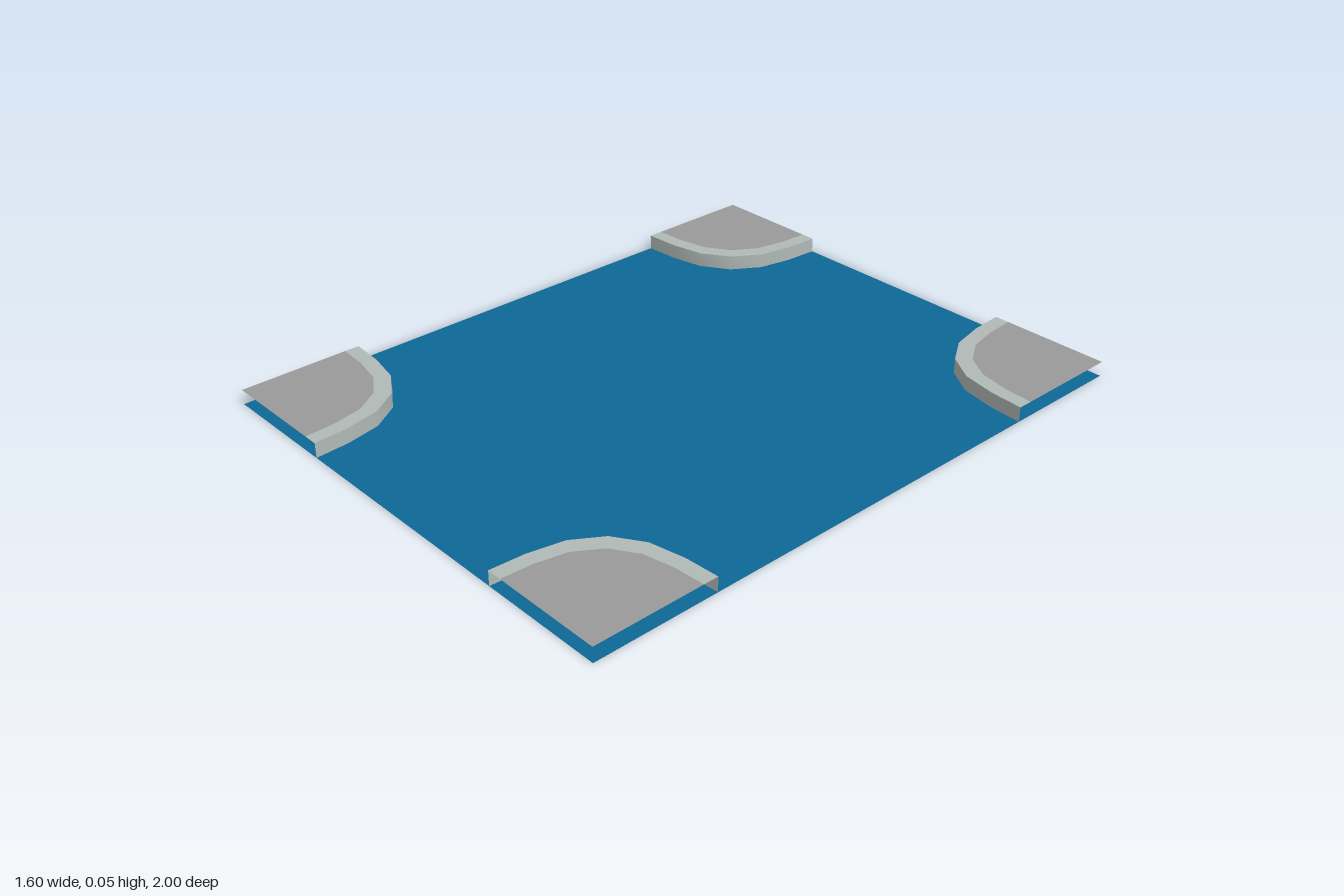
import * as THREE from 'three';

const HEIGHT = 0.048;
// quarter-round kerb line, measured from the block corner: [x, z]
const ARC = [[0, 0.4], [0.11, 0.393], [0.222, 0.37], [0.312, 0.312], [0.37, 0.222], [0.393, 0.11], [0.4, 0]];
const INNER = 0.88; // pavement line relative to the kerb line

const material = (color) => new THREE.MeshStandardMaterial({ color, side: THREE.DoubleSide });

// band of quads between two scaled copies of the kerb line
function band(scaleA, yA, scaleB, yB) {
  const positions = [], indices = [];
  ARC.forEach(([x, z], i) => {
    positions.push(x * scaleA, yA, z * scaleA, x * scaleB, yB, z * scaleB);
    if (i < ARC.length - 1) {
      const a = i * 2;
      indices.push(a, a + 2, a + 1, a + 2, a + 3, a + 1);
    }
  });
  const geometry = new THREE.BufferGeometry();
  geometry.setAttribute('position', new THREE.Float32BufferAttribute(positions, 3));
  geometry.setIndex(indices);
  geometry.computeVertexNormals();
  return geometry;
}

export function createModel() {
  const model = new THREE.Group();
  model.name = 'roadCrossing';
  const add = (parent, name, geometry, mat) => {
    const mesh = new THREE.Mesh(geometry, mat);
    mesh.name = name;
    parent.add(mesh);
  };

  // road sheet
  add(model, 'road', new THREE.PlaneGeometry(1.6, 2).rotateX(-Math.PI / 2), material(0x0d6796));

  // corner pieces, open along the outer edges
  const kerbMaterial = material(0xb0b9b6);
  const pavementMaterial = material(0x999999);
  const wall = band(1, 0, 1, HEIGHT);
  const kerbTop = band(1, HEIGHT, INNER, HEIGHT);
  const outline = [[0, 0], ...ARC].map(([x, z]) => new THREE.Vector2(x * INNER, -z * INNER));
  const pavement = new THREE.ShapeGeometry(new THREE.Shape(outline))
    .rotateX(-Math.PI / 2).translate(0, HEIGHT, 0);

  [[-0.8, -1], [-0.8, 1], [0.8, 1], [0.8, -1]].forEach(([x, z], i) => {
    const corner = new THREE.Group();
    corner.name = 'pavementCorner' + (i + 1);
    add(corner, 'kerbWall', wall, kerbMaterial);
    add(corner, 'kerbTop', kerbTop, kerbMaterial);
    add(corner, 'pavement', pavement, pavementMaterial);
    corner.position.set(x, 0, z);
    corner.rotation.y = i * Math.PI / 2;
    model.add(corner);
  });
  return model;
}
